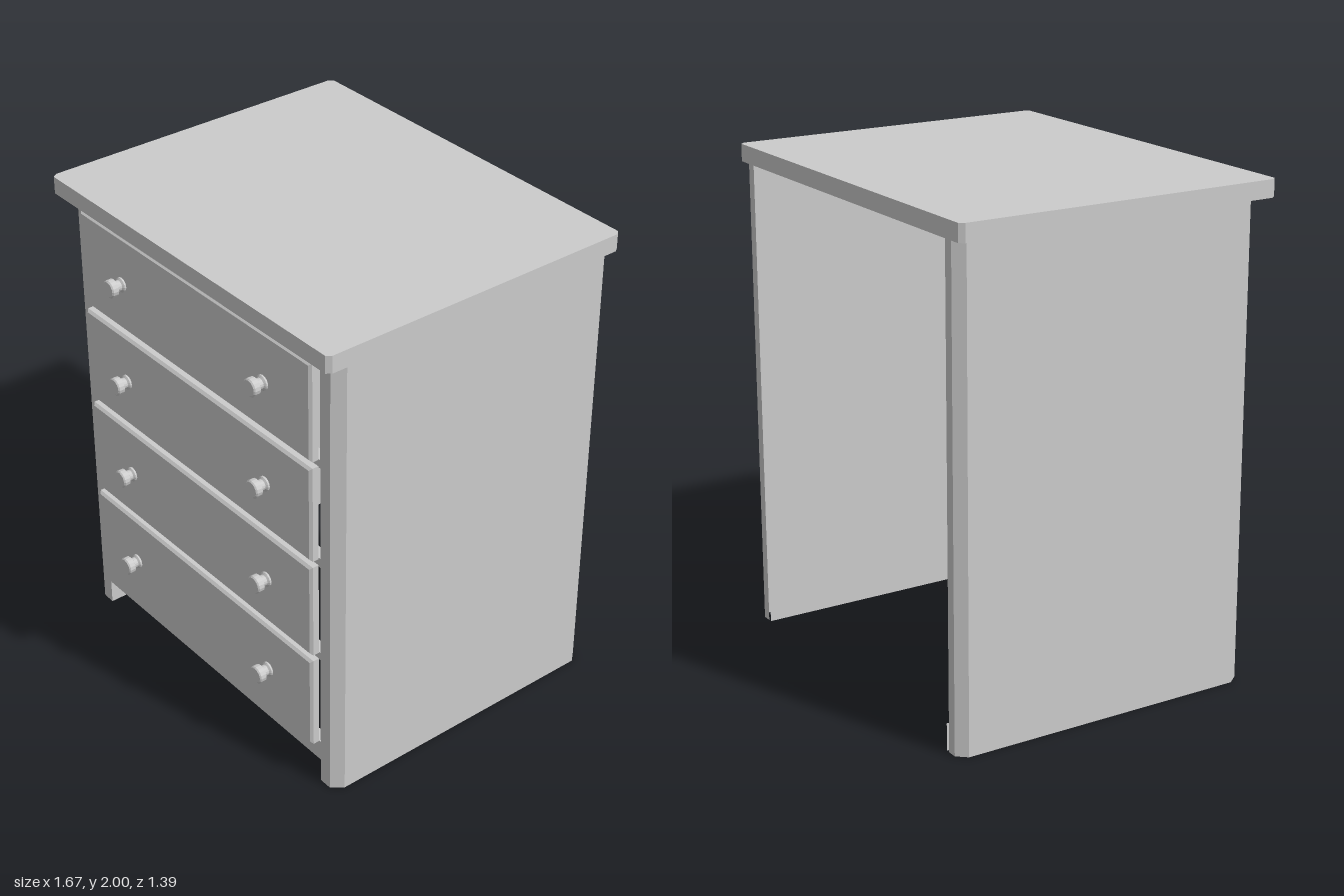
import * as THREE from 'three';

const mat = new THREE.MeshStandardMaterial({ color: 0xcccccc, flatShading: true, side: THREE.DoubleSide });
const knobMat = new THREE.MeshStandardMaterial({ color: 0xcccccc, flatShading: true });

function add(parent, geometry, name, material = mat) {
  const mesh = new THREE.Mesh(geometry, material);
  mesh.name = name;
  parent.add(mesh);
  return mesh;
}

// Upright thin sheet following a plan outline of [x, z] points
function sheet(points, y0, y1) {
  const pos = [], index = [];
  points.forEach(([x, z], i) => {
    pos.push(x, y0, z, x, y1, z);
    if (i) {
      const a = 2 * i - 2;
      index.push(a, a + 1, a + 2, a + 1, a + 3, a + 2);
    }
  });
  const g = new THREE.BufferGeometry();
  g.setAttribute('position', new THREE.Float32BufferAttribute(pos, 3));
  g.setIndex(index);
  const flat = g.toNonIndexed();
  flat.computeVertexNormals();
  return flat;
}

// Open-backed drawer front: rectangular rings joined from back to face, then capped
function drawerFront(w, h, depth, bevel) {
  const rings = [[0, 0], [0, depth - bevel], [bevel, depth]];
  const pos = [], index = [];
  rings.forEach(([inset, z], r) => {
    const x = w / 2 - inset, y = h / 2 - inset;
    pos.push(-x, -y, z, x, -y, z, x, y, z, -x, y, z);
    if (r) for (let i = 0; i < 4; i++) {
      const j = (i + 1) % 4, a = 4 * (r - 1), b = 4 * r;
      index.push(a + i, a + j, b + j, a + i, b + j, b + i);
    }
  });
  index.push(8, 9, 10, 8, 10, 11);
  const g = new THREE.BufferGeometry();
  g.setAttribute('position', new THREE.Float32BufferAttribute(pos, 3));
  g.setIndex(index);
  const flat = g.toNonIndexed();
  flat.computeVertexNormals();
  return flat;
}

export function createModel() {
  const model = new THREE.Group();
  model.name = 'chestOfDrawers';

  // Worktop with clipped corners
  const X = 0.833, F = 0.665, B = -0.695, cx = 0.015, cz = 0.02;
  const outline = new THREE.Shape([
    [-X + cx, -F], [X - cx, -F], [X, -F + cz], [X, -B - cz],
    [X - cx, -B], [-X + cx, -B], [-X, -B - cz], [-X, -F + cz],
  ].map(([x, y]) => new THREE.Vector2(x, y)));
  const top = new THREE.ExtrudeGeometry(outline, { depth: 0.07, bevelEnabled: false });
  top.rotateX(-Math.PI / 2);
  add(model, top, 'worktop').position.y = 1.93;

  // Hollow side walls with chamfered corner posts and a low inner skirt
  for (const s of [1, -1]) {
    const side = new THREE.Group();
    side.name = s > 0 ? 'leftSide' : 'rightSide';
    const plan = [[0.725, -0.69], [0.765, -0.69], [0.8, -0.65], [0.8, 0.555],
      [0.765, 0.6], [0.71, 0.6], [0.71, 0.555], [0.8, 0.555]];
    add(side, sheet(plan.map(([x, z]) => [s * x, z]), 0, 1.93), 'sideWall');
    add(side, sheet([[s * 0.71, -0.69], [s * 0.71, 0.555]], 0, 0.11), 'innerSkirt');
    model.add(side);
  }

  // Cross rails between the drawers
  for (const [y0, y1] of [[0.105, 0.195], [0.595, 0.63], [1.025, 1.065], [1.46, 1.495], [1.895, 1.93]]) {
    const rail = add(model, new THREE.BoxGeometry(1.42, y1 - y0, 0.045), 'rail');
    rail.position.set(0, (y0 + y1) / 2, 0.5775);
  }

  // Four drawers, each with two turned knobs
  const profile = [[0, 0], [0.03, 0], [0.03, 0.008], [0.022, 0.014], [0.022, 0.03],
    [0.036, 0.037], [0.036, 0.06], [0.031, 0.065], [0, 0.065]].map(([r, y]) => new THREE.Vector2(r, y));
  const knobGeo = new THREE.LatheGeometry(profile, 16);
  knobGeo.rotateX(Math.PI / 2);
  const frontGeo = drawerFront(1.4, 0.406, 0.036, 0.01);
  for (let i = 0; i < 4; i++) {
    const drawer = new THREE.Group();
    drawer.name = 'drawer';
    drawer.position.set(0, 0.395 + i * 0.433, 0.6);
    add(drawer, frontGeo, 'drawerFront');
    for (const x of [-0.435, 0.435]) {
      add(drawer, knobGeo, 'knob', knobMat).position.set(x, 0, 0.035);
    }
    model.add(drawer);
  }
  return model;
}
